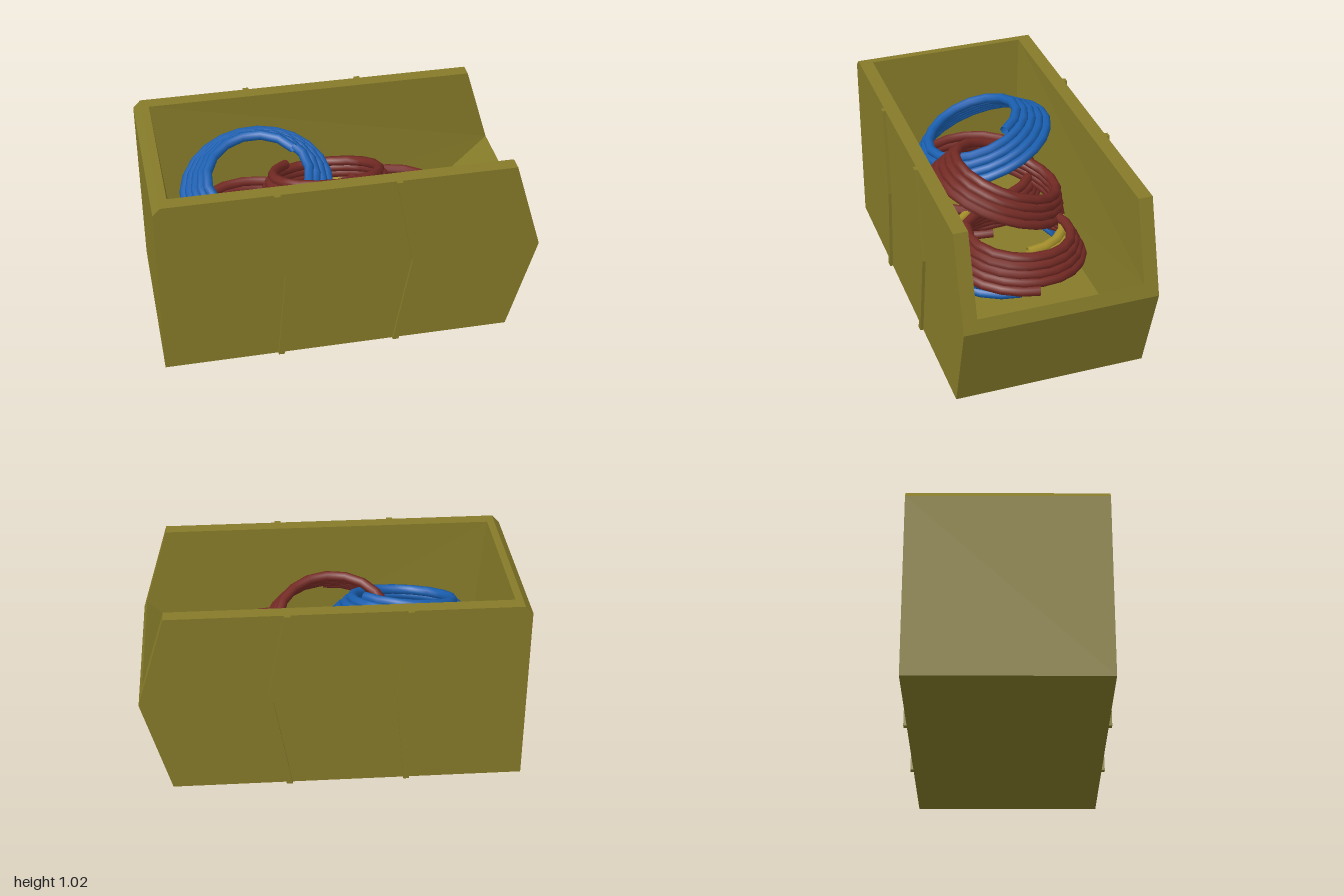
import * as THREE from 'three';

const OLIVE = 0x857a29, BLUE = 0x1a5fb0, RED = 0x742a24, YELLOW = 0xa8922c;

// Open bin: points are [x, y, half width in z]
function makeBin() {
  const A = [-1, 0, 0.51], B = [0.85, 0, 0.51], C = [1, 0.52, 0.51];
  const D = [0.85, 1.02, 0.51], E = [-0.96, 1.02, 0.51], F = [-1, 0.98, 0.51];
  // rim of the opening and tapered cavity
  const rimBack = [-0.92, 1.02, 0.435], rimTop = [0.85, 1.02, 0.435], rimLip = [0.979, 0.59, 0.435];
  const floorFront = [0.54, 0.2, 0.4], floorBack = [-0.84, 0.2, 0.39];
  const pos = [];
  const face = (pts) => {
    for (let i = 1; i < pts.length - 1; i++) pos.push(...pts[0], ...pts[i], ...pts[i + 1]);
  };
  const neg = ([x, y, w]) => [x, y, -w];

  // strips running across the width, outside then inside
  const loop = [A, B, C, rimLip, floorFront, floorBack, rimBack, E, F];
  loop.forEach((a, i) => {
    const b = loop[(i + 1) % loop.length];
    face([neg(a), neg(b), b, a]);
  });
  // side walls: outer face, rim strips and inner face, mirrored
  for (const s of [
    [A, B, C, D, E, F],
    [C, rimLip, rimTop, D],
    [D, rimTop, rimBack, E],
    [floorFront, floorBack, rimBack, rimTop, rimLip],
  ]) {
    face(s);
    face(s.map(neg).reverse());
  }
  const geo = new THREE.BufferGeometry();
  geo.setAttribute('position', new THREE.Float32BufferAttribute(pos, 3));
  geo.computeVertexNormals();
  return geo;
}

// Bent rib standing on a side wall
function makeRib(x, bend) {
  const w = 0.032, s = new THREE.Shape();
  [[x, 0], [x + w, 0], [x + bend + w, 0.52], [x + w, 1.02], [x, 1.02], [x + bend, 0.52]]
    .forEach(([px, py], i) => (i ? s.lineTo(px, py) : s.moveTo(px, py)));
  return new THREE.ExtrudeGeometry(s, { depth: 0.022, bevelEnabled: false });
}

// Tilted, tapering coil of cable
function makeCoil({ r0, r1, turns, rise, start = 0, thick = 0.027 }) {
  const pts = [], n = Math.round(turns * 20);
  for (let i = 0; i <= n; i++) {
    const t = i / n, a = start + t * turns * Math.PI * 2;
    const r = r0 + (r1 - r0) * t;
    pts.push(new THREE.Vector3(r * Math.cos(a), rise * t, r * Math.sin(a)));
  }
  return new THREE.TubeGeometry(new THREE.CatmullRomCurve3(pts), n, thick, 8, false);
}

export function createModel() {
  const model = new THREE.Group();
  const add = (name, geo, color, extra = {}) => {
    const mesh = new THREE.Mesh(geo, new THREE.MeshStandardMaterial({ color, ...extra }));
    mesh.name = name;
    model.add(mesh);
    return mesh;
  };

  add('bin', makeBin(), OLIVE, { flatShading: true });

  for (const [name, x, bend] of [['backRib', -0.4, 0.046], ['frontRib', 0.22, 0.094]]) {
    for (const [side, z] of [['Left', 0.505], ['Right', -0.527]]) {
      add(name + side, makeRib(x, bend), OLIVE, { flatShading: true }).position.z = z;
    }
  }

  // cable pile, from the bottom up
  const coils = [
    { name: 'lowerBlueCoil', color: BLUE, at: [0.06, 0.25, 0.01], tilt: [0, 0], r0: 0.36, r1: 0.33, turns: 3, rise: 0.12 },
    { name: 'yellowCoil', color: YELLOW, at: [0.14, 0.37, -0.03], tilt: [0.03, 0.04], r0: 0.34, r1: 0.28, turns: 4, rise: 0.12 },
    { name: 'backRedCoil', color: RED, at: [-0.43, 0.34, 0.01], tilt: [0.05, -0.05], r0: 0.37, r1: 0.34, turns: 4, rise: 0.2 },
    { name: 'frontRedCoil', color: RED, at: [0.31, 0.42, 0.0], tilt: [-0.06, 0.05], r0: 0.36, r1: 0.27, turns: 4.3, rise: 0.16 },
    { name: 'middleRedCoil', color: RED, at: [-0.03, 0.59, 0.0], tilt: [-0.36, 0.02], r0: 0.37, r1: 0.28, turns: 4.4, rise: 0.17, start: 1.5 },
    { name: 'upperBlueCoil', color: BLUE, at: [-0.4, 0.68, -0.04], tilt: [0.33, 0.08], r0: 0.4, r1: 0.25, turns: 4.6, rise: 0.15, start: 2 },
  ];
  for (const c of coils) {
    const coil = add(c.name, makeCoil(c), c.color, { side: THREE.DoubleSide });
    coil.position.set(...c.at);
    coil.rotation.set(c.tilt[0], 0, c.tilt[1]);
  }
  return model;
}
